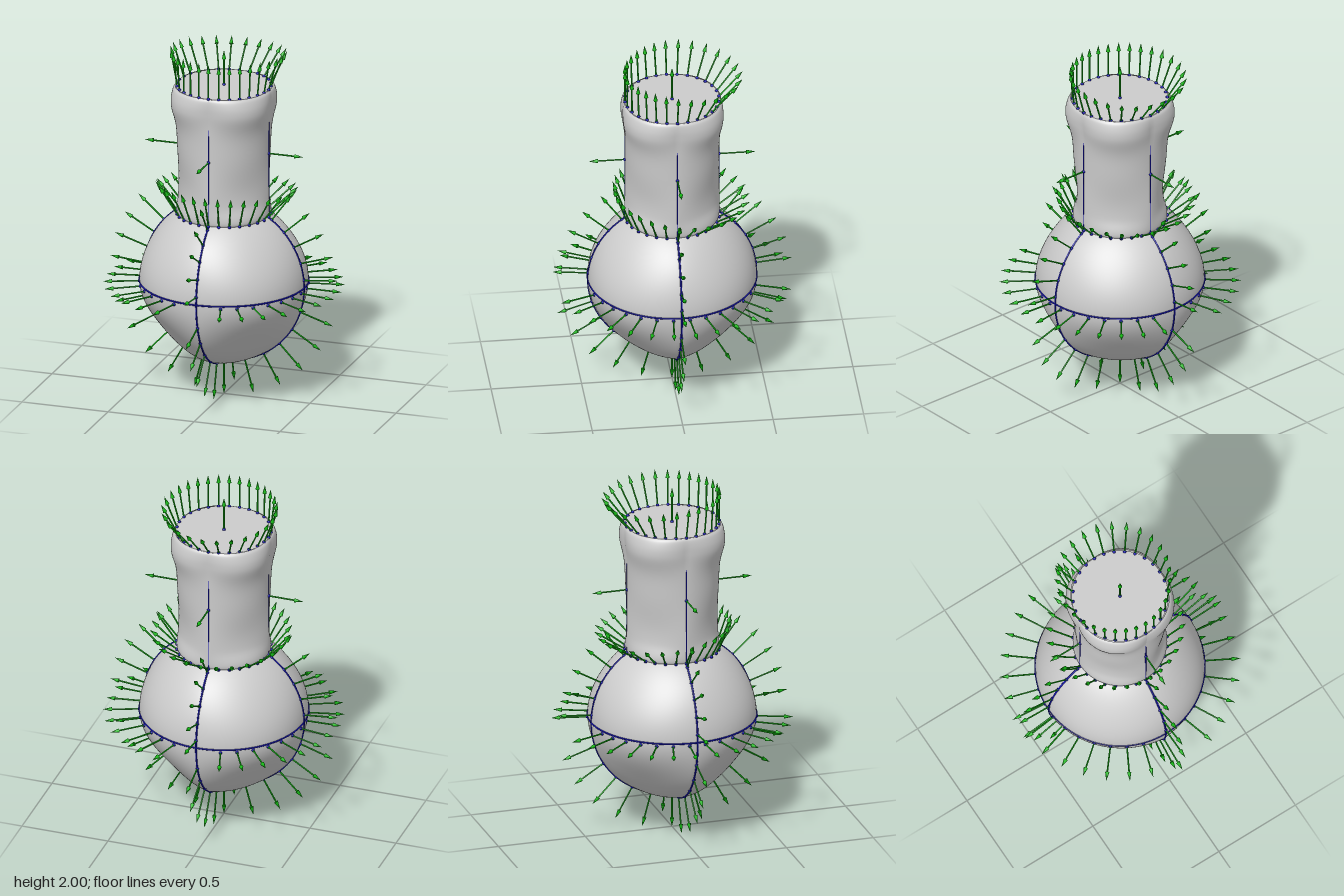
import * as THREE from 'three';
import { mergeGeometries } from 'three/addons/utils/BufferGeometryUtils.js';

const R = 0.465, CY = 0.67, NECK_Y = 1.06, TOP_Y = 1.8, NECK_R = 0.26;
const rad = THREE.MathUtils.degToRad;
const V = (x, y, z) => new THREE.Vector3(x, y, z);

// Point at a horizontal angle (0 = front), a radius and a height
const polar = (a, r, y) => V(Math.sin(a) * r, y, Math.cos(a) * r);

// Lathe whose radius is changed by a rule of angle and height
function ribbedLathe(profile, rule) {
  const g = new THREE.LatheGeometry(profile, 96);
  const p = g.attributes.position;
  for (let i = 0; i < p.count; i++) {
    const x = p.getX(i), y = p.getY(i), z = p.getZ(i);
    const lobe = Math.abs(Math.sin(2 * Math.atan2(x, z))); // 0 on a rib, 1 between ribs
    const k = rule(lobe, y, Math.hypot(x, z));
    p.setX(i, x * k);
    p.setZ(i, z * k);
  }
  g.computeVertexNormals();
  return g;
}

export function createModel() {
  const model = new THREE.Group();
  const material = (color) => new THREE.MeshStandardMaterial({ color, side: THREE.DoubleSide });
  const grey = material(0xcccccc), green = material(0x12b512), blue = material(0x1010b0);
  const add = (name, geometry, mat) => {
    const mesh = new THREE.Mesh(geometry, mat);
    mesh.name = name;
    model.add(mesh);
  };

  // Round body, flattened between its four ribs
  const bodyProfile = [];
  for (let i = 0; i <= 48; i++) {
    const lat = rad(-90 + (147 * i) / 48);
    bodyProfile.push(new THREE.Vector2(Math.max(Math.cos(lat) * R, 0.0001), CY + Math.sin(lat) * R));
  }
  add('body', ribbedLathe(bodyProfile, (lobe, y) => {
    const s = THREE.MathUtils.clamp((y - CY) / R, -1, 1);
    const bend = 4 * s * s * (1 - s * s);
    return 1 - (s < 0 ? 0.16 : 0.05) * lobe * bend;
  }), grey);

  // Neck, narrow low down and swelling under the rim between the ribs
  const rib = [[0.25, 1.055], [0.261, 1.08], [0.262, 1.2], [0.259, 1.4], [0.262, 1.6], [0.27, 1.7],
    [0.273, 1.75], [0.27, 1.785], [0.26, TOP_Y]];
  const neckCurve = new THREE.SplineCurve(rib.map(([r, y]) => new THREE.Vector2(r, y)));
  add('neck', ribbedLathe(neckCurve.getPoints(64), (lobe, y, r) => {
    const waist = Math.exp(-(((y - 1.22) / 0.16) ** 2));
    const swell = Math.exp(-(((y - 1.7) / 0.1) ** 2));
    const ends = THREE.MathUtils.smoothstep(y, 1.055, 1.16);
    return 1 + lobe * (0.03 * swell - 0.026 * waist * ends) / r;
  }), grey);

  // Closed top of the neck
  const cap = new THREE.CircleGeometry(0.266, 64);
  cap.rotateX(-Math.PI / 2).translate(0, TOP_Y - 0.002, 0);
  add('topCap', cap, grey);

  // Arrows with a dot at the foot
  const arrows = [], dots = [];
  const shaft = new THREE.CylinderGeometry(0.0045, 0.0045, 0.16, 6).translate(0, 0.08, 0);
  const head = new THREE.ConeGeometry(0.012, 0.05, 8).translate(0, 0.175, 0);
  const arrowGeometry = mergeGeometries([shaft, head]);
  const dotGeometry = new THREE.SphereGeometry(0.0095, 8, 6);
  const up = V(0, 1, 0);
  function arrow(foot, direction) {
    const q = new THREE.Quaternion().setFromUnitVectors(up, direction.clone().normalize());
    arrows.push(arrowGeometry.clone().applyQuaternion(q).translate(foot.x, foot.y, foot.z));
    dots.push(dotGeometry.clone().translate(foot.x, foot.y, foot.z));
  }
  function bodyArrow(a, lat) {
    const d = polar(a, Math.cos(lat), Math.sin(lat));
    arrow(d.clone().multiplyScalar(R).add(V(0, CY, 0)), d);
  }

  // Arrows along the four ribs of the body and at the middle of the neck
  const latitudes = [-75, -60.5, -46.3, -32, -17.7, 5.5, 17.5, 29.5, 41.5, 53.5];
  for (let k = 0; k < 4; k++) {
    const a = (k * Math.PI) / 2;
    latitudes.forEach((lat) => bodyArrow(a, rad(lat)));
    arrow(polar(a, NECK_R, 1.43), polar(a, 1, 0));
  }
  bodyArrow(0, -Math.PI / 2);
  arrow(V(0, TOP_Y, 0), up);

  // Arrows around the equator
  for (const sx of [-1, 1]) {
    for (const sz of [0, 1]) {
      for (let i = 0; i < 7; i++) {
        const fromSide = rad(5.6 + 11.25 * i);
        const a = Math.PI / 2 - fromSide;
        bodyArrow(sx * (sz ? a : Math.PI - a), rad(-2));
      }
    }
  }

  // Arrows around the top and the foot of the neck, leaning out toward the back
  for (let i = 0; i < 28; i++) {
    const a = (i / 28) * Math.PI * 2;
    const back = (1 - Math.cos(a)) / 2;
    arrow(polar(a, NECK_R, TOP_Y), polar(a, 0.13 * back ** 1.5, 0.19 - 0.04 * back));
    arrow(polar(a, NECK_R, NECK_Y), polar(a, 0.06 + 0.12 * back, 0.17 - 0.06 * back));
  }
  add('arrows', mergeGeometries(arrows), green);
  add('arrowFeet', mergeGeometries(dots), blue);

  // Thin lines along the equator, the ribs and the neck
  const lines = [];
  lines.push(new THREE.TorusGeometry(R, 0.005, 6, 96).rotateX(Math.PI / 2).translate(0, CY, 0));
  for (let k = 0; k < 4; k++) {
    const a = (k * Math.PI) / 2;
    const path = [];
    for (let i = 0; i <= 24; i++) {
      const lat = rad(-90 + (147 * i) / 24);
      path.push(polar(a, Math.cos(lat) * R, CY + Math.sin(lat) * R));
    }
    lines.push(new THREE.TubeGeometry(new THREE.CatmullRomCurve3(path), 48, 0.005, 6));
    const neckLine = new THREE.LineCurve3(polar(a, NECK_R, NECK_Y), polar(a, NECK_R, 1.63));
    lines.push(new THREE.TubeGeometry(neckLine, 1, 0.003, 6));
  }
  add('seamLines', mergeGeometries(lines), blue);

  return model;
}
